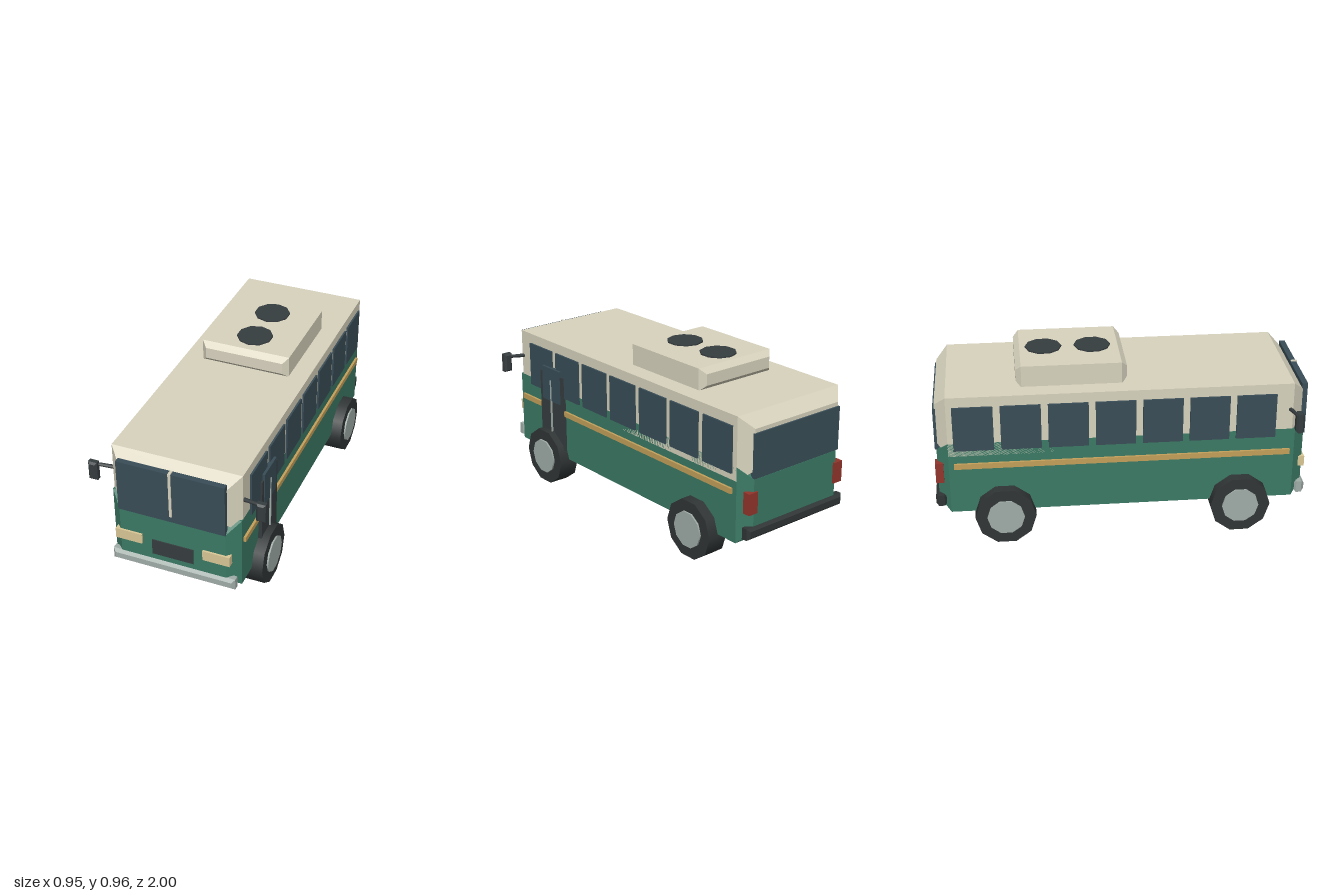
import * as THREE from 'three';

const mat = (color) => new THREE.MeshStandardMaterial({ color });
const M = {
  cream: mat(0xd8d3be), green: mat(0x3b7a65), glass: mat(0x394d57),
  rubber: mat(0x303535), trim: mat(0x363d3f), chrome: mat(0xa0aca7),
  gold: mat(0xc4a05a), lamp: mat(0xd9c796), red: mat(0x93352c),
};

export function createModel() {
  const bus = new THREE.Group();
  bus.name = 'bus';

  const add = (name, geometry, material, x = 0, y = 0, z = 0) => {
    const mesh = new THREE.Mesh(geometry, material);
    mesh.name = name;
    mesh.position.set(x, y, z);
    bus.add(mesh);
    return mesh;
  };

  // Plain box given by its extents on each axis
  const box = (name, material, [x0, x1], [y0, y1], [z0, z1]) =>
    add(name, new THREE.BoxGeometry(x1 - x0, y1 - y0, z1 - z0), material,
      (x0 + x1) / 2, (y0 + y1) / 2, (z0 + z1) / 2);

  // Box whose front and back ends are chamfered by b
  const chamferBox = (name, material, [x0, x1], [y0, y1], [z0, z1], b) => {
    const w = (x1 - x0) / 2 - b, h = (y1 - y0) / 2 - b, d = z1 - z0 - 2 * b;
    const shape = new THREE.Shape([
      new THREE.Vector2(-w, -h), new THREE.Vector2(w, -h),
      new THREE.Vector2(w, h), new THREE.Vector2(-w, h),
    ]);
    const geometry = new THREE.ExtrudeGeometry(shape, {
      depth: d, bevelEnabled: true, bevelSegments: 1, bevelSize: b, bevelThickness: b,
    }).translate(0, 0, -d / 2);
    return add(name, geometry, material, (x0 + x1) / 2, (y0 + y1) / 2, (z0 + z1) / 2);
  };

  // Body shells
  chamferBox('lowerBody', M.green, [-0.35, 0.35], [0.167, 0.575], [-0.982, 0.985], 0.061);
  chamferBox('upperBody', M.cream, [-0.35, 0.35], [0.5, 0.84], [-0.981, 0.968], 0.061);

  // Front and rear glass
  box('windshield', M.glass, [-0.29, 0.29], [0.515, 0.81], [0.962, 0.993]);
  box('windshieldDivider', M.cream, [-0.007, 0.007], [0.55, 0.815], [0.965, 0.998]);
  box('rearWindow', M.glass, [-0.295, 0.295], [0.52, 0.757], [-0.99, -0.965]);

  // Front fittings
  box('grille', M.trim, [-0.113, 0.113], [0.275, 0.365], [0.97, 0.991]);
  chamferBox('frontBumper', M.chrome, [-0.338, 0.338], [0.175, 0.24], [0.94, 1], 0.016);
  chamferBox('rearBumper', M.rubber, [-0.338, 0.338], [0.2, 0.262], [-1, -0.94], 0.014);

  // Mirrored parts
  for (const s of [-1, 1]) {
    const side = s > 0 ? 'left' : 'right';
    const span = (a, b) => (s > 0 ? [a, b] : [-b, -a]);

    for (let i = 0; i < 7; i++) {
      const z = 0.71 - i * 0.249;
      box(`${side}Window${i + 1}`, M.glass, span(0.34, 0.36), [0.535, 0.785], [z - 0.106, z + 0.106]);
    }
    box(`${side}Stripe`, M.gold, span(0.34, 0.363), [0.428, 0.458], [-0.893, 0.9]);
    box(`${side}Headlight`, M.lamp, span(0.166, 0.313), [0.325, 0.383], [0.95, 0.996]);
    box(`${side}TailLight`, M.red, span(0.272, 0.33), [0.335, 0.45], [-0.993, -0.95]);

    // Mirror on a short arm
    const from = new THREE.Vector3(s * 0.34, 0.689, 0.892);
    const to = new THREE.Vector3(s * 0.44, 0.697, 0.912);
    const arm = add(`${side}MirrorArm`, new THREE.CylinderGeometry(0.009, 0.011, from.distanceTo(to), 8), M.trim);
    arm.position.lerpVectors(from, to, 0.5);
    arm.quaternion.setFromUnitVectors(new THREE.Vector3(0, 1, 0), to.clone().sub(from).normalize());
    chamferBox(`${side}Mirror`, M.trim, span(0.428, 0.477), [0.611, 0.717], [0.898, 0.942], 0.01);

    // Wheels
    for (const [end, z] of [['Front', 0.633], ['Rear', -0.632]]) {
      add(`${side}${end}Tyre`, new THREE.CylinderGeometry(0.163, 0.163, 0.117, 10).rotateZ(Math.PI / 2),
        M.rubber, s * 0.351, 0.155, z);
      add(`${side}${end}Hub`, new THREE.CylinderGeometry(0.1, 0.1, 0.135, 10).rotateZ(Math.PI / 2),
        M.chrome, s * 0.351, 0.155, z);
    }
  }

  // Passenger door
  box('door', M.trim, [0.33, 0.37], [0.2, 0.657], [0.49, 0.702]);
  box('doorWindow', M.glass, [0.34, 0.374], [0.493, 0.69], [0.513, 0.677]);
  box('doorHandle', M.chrome, [0.36, 0.379], [0.3, 0.618], [0.593, 0.6]);

  // Roof unit with two fans
  chamferBox('roofUnit', M.cream, [-0.248, 0.248], [0.835, 0.955], [-0.552, 0.034], 0.029);
  for (const z of [-0.395, -0.133]) {
    add('roofFan', new THREE.CylinderGeometry(0.098, 0.098, 0.02, 10), M.trim, 0, 0.952, z);
  }

  return bus;
}
